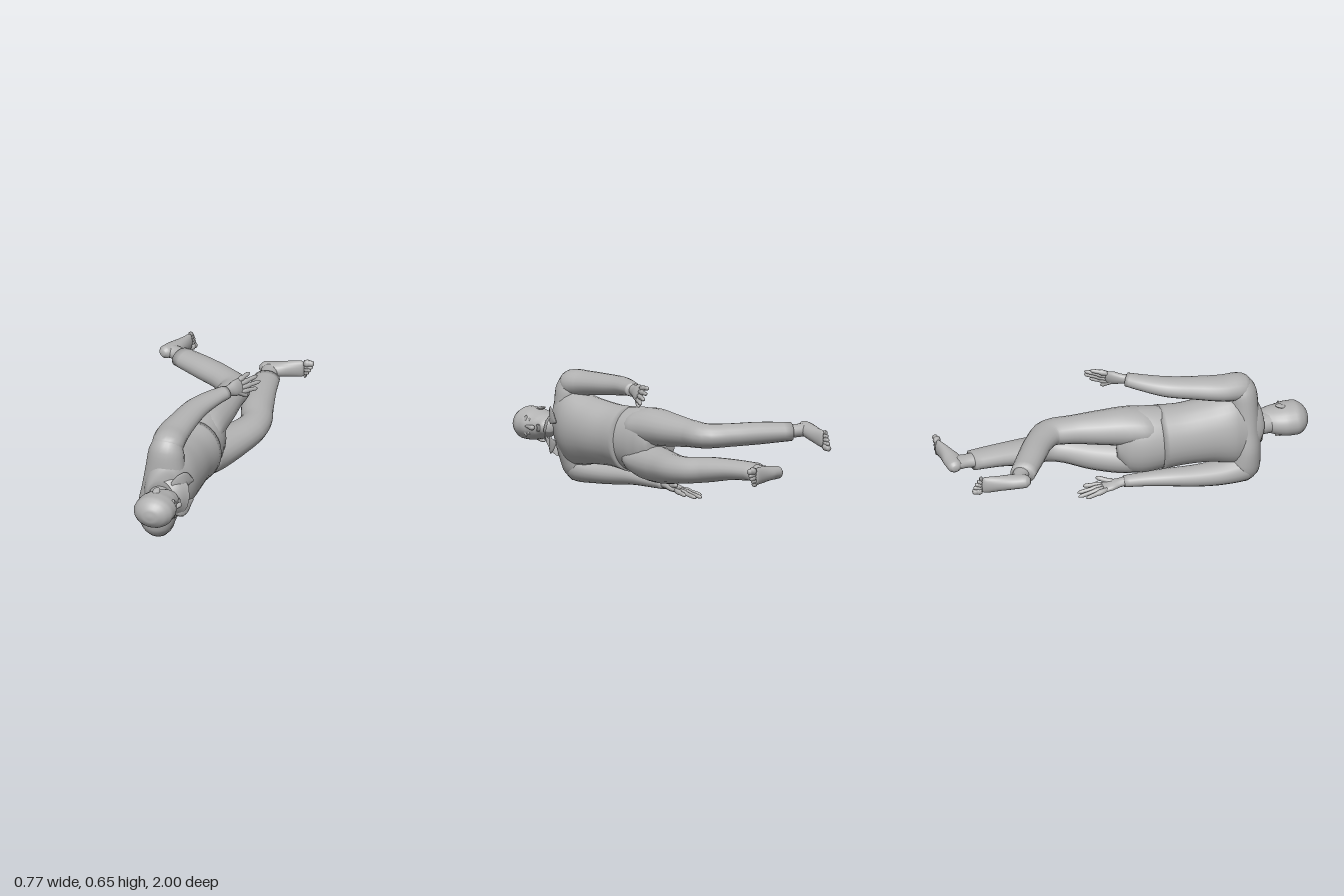
import * as THREE from 'three';

const grey = new THREE.MeshStandardMaterial({ color: 0xb2b2b2, side: THREE.DoubleSide });
grey.name = 'plain grey';

// Smooth skin through elliptical rings [x, y, z, radius along ref, radius across]
function loft(name, rings, { ref = [0, 1, 0], sides = 20, steps = 4, open = false } = {}) {
  const centre = new THREE.CatmullRomCurve3(rings.map(r => new THREE.Vector3(r[0], r[1], r[2])));
  const radii = new THREE.CatmullRomCurve3(rings.map(r => new THREE.Vector3(r[3], r[4], 0)));
  const axis = new THREE.Vector3(...ref);
  const n = (rings.length - 1) * steps, pos = [], idx = [];
  for (let i = 0; i <= n; i++) {
    const c = centre.getPoint(i / n), r = radii.getPoint(i / n), t = centre.getTangent(i / n);
    const v = t.clone().cross(axis).normalize(), u = v.clone().cross(t);
    for (let j = 0; j < sides; j++) {
      const a = (j / sides) * Math.PI * 2;
      const p = c.clone().addScaledVector(u, Math.cos(a) * r.x).addScaledVector(v, Math.sin(a) * r.y);
      pos.push(p.x, p.y, p.z);
      if (i < n) {
        const k = (j + 1) % sides, A = i * sides + j, B = i * sides + k;
        idx.push(A, B, B + sides, A, B + sides, A + sides);
      }
    }
  }
  if (!open) {
    const s = pos.length / 3, last = n * sides;
    pos.push(...centre.getPoint(0).toArray(), ...centre.getPoint(1).toArray());
    for (let j = 0; j < sides; j++) {
      const k = (j + 1) % sides;
      idx.push(s, k, j, s + 1, last + j, last + k);
    }
  }
  const g = new THREE.BufferGeometry();
  g.setAttribute('position', new THREE.Float32BufferAttribute(pos, 3));
  g.setIndex(idx);
  g.computeVertexNormals();
  const m = new THREE.Mesh(g, grey);
  m.name = name;
  return m;
}

function ball(name, p, s) {
  const m = new THREE.Mesh(new THREE.SphereGeometry(1, 14, 10), grey);
  m.position.set(...p);
  m.scale.set(...s);
  m.name = name;
  return m;
}

// Rounded finger or toe from a to b
function digit(name, a, b, r) {
  const at = f => a.map((v, i) => v + (b[i] - v) * f);
  return loft(name, [[...a, r, r], [...at(0.5), r, r], [...at(0.88), r * 0.9, r * 0.9], [...b, r * 0.35, r * 0.35]],
    { sides: 8, steps: 3 });
}

// Palm lofted from wrist to knuckles, four fingers and a thumb
function hand(name, wrist, knuckle, spread, tips, thumb) {
  const g = new THREE.Group();
  g.name = name;
  const mix = f => wrist.map((v, i) => v + (knuckle[i] - v) * f);
  g.add(loft('palm', [[...mix(-0.1), 0.028, 0.024], [...mix(0.25), 0.031, 0.022], [...mix(0.65), 0.044, 0.022],
    [...mix(1), 0.043, 0.015], [...mix(1.1), 0.03, 0.008]], { ref: spread, sides: 14 }));
  tips.forEach((tip, i) => {
    const root = mix(0.95).map((v, k) => v + spread[k] * (0.031 - i * 0.0207));
    g.add(digit('finger', root, tip, 0.012));
  });
  g.add(digit('thumb', mix(0.35), thumb, 0.014));
  return g;
}

// Bare foot: ankle, body of the foot and five toes starting with the big one
function foot(name, ankle, body, tips) {
  const g = new THREE.Group();
  g.name = name;
  g.add(loft('ankle', ankle), loft('instep', body));
  const [x, y, z] = body[body.length - 1], side = Math.sign(tips[0][1] - tips[4][1]);
  tips.forEach((tip, i) => g.add(digit('toe', [x, y + side * (0.034 - i * 0.018), z], tip, i ? 0.0115 : 0.017)));
  return g;
}

export function createModel() {
  const model = new THREE.Group();
  model.name = 'recliningFigure';
  const lean = [0.16, 1, 0];

  // Jacket body, shoulders and trousers seat
  model.add(loft('jacket', [
    [0.08, 0.305, 0.172, 0.178, 0.155], [0.075, 0.308, 0.3, 0.17, 0.146], [0.075, 0.312, 0.45, 0.182, 0.148],
    [0.07, 0.312, 0.57, 0.205, 0.145], [0.062, 0.31, 0.65, 0.2, 0.118], [0.06, 0.305, 0.695, 0.15, 0.092],
    [0.065, 0.3, 0.72, 0.07, 0.07]], { ref: lean, sides: 28 }));
  model.add(loft('shoulders', [
    [0.016, 0.025, 0.61, 0.045, 0.055], [0.018, 0.09, 0.628, 0.083, 0.092], [0.033, 0.2, 0.638, 0.082, 0.115],
    [0.06, 0.31, 0.64, 0.082, 0.12], [0.066, 0.42, 0.638, 0.08, 0.108], [0.07, 0.52, 0.63, 0.08, 0.096],
    [0.077, 0.58, 0.612, 0.06, 0.07], [0.08, 0.615, 0.6, 0.02, 0.025]], { ref: [0, 0, 1], sides: 24 }));
  model.add(loft('trouserSeat', [
    [0.078, 0.308, 0.24, 0.165, 0.138], [0.077, 0.309, 0.17, 0.175, 0.146], [0.077, 0.309, 0.08, 0.184, 0.144],
    [0.088, 0.305, 0, 0.172, 0.124], [0.1, 0.3, -0.06, 0.09, 0.09]], { ref: lean, sides: 28 }));

  // Flared open collar with two lapels
  model.add(loft('collar', [[0.085, 0.29, 0.655, 0.15, 0.135], [0.075, 0.295, 0.7, 0.122, 0.115], [0.065, 0.3, 0.735, 0.085, 0.088]],
    { sides: 16, open: true }));
  for (const s of [1, -1]) {
    model.add(loft('lapel', [[0.13, 0.3 + s * 0.065, 0.73, 0.02, 0.006], [0.18, 0.3 + s * 0.08, 0.685, 0.05, 0.006],
      [0.213, 0.3 + s * 0.055, 0.61, 0.006, 0.004]], { sides: 8 }));
  }

  // Neck and head
  model.add(loft('neck', [[0.055, 0.3, 0.66, 0.06, 0.06], [0.063, 0.3, 0.73, 0.055, 0.058], [0.08, 0.298, 0.81, 0.058, 0.065]]));
  const head = new THREE.Group();
  head.name = 'head';
  head.add(loft('skull', [
    [0.145, 0.3, 0.722, 0.02, 0.028], [0.135, 0.3, 0.74, 0.042, 0.053], [0.113, 0.3, 0.78, 0.065, 0.08],
    [0.097, 0.298, 0.83, 0.078, 0.101], [0.091, 0.297, 0.88, 0.088, 0.111], [0.09, 0.297, 0.93, 0.089, 0.109],
    [0.09, 0.297, 0.968, 0.07, 0.086], [0.09, 0.297, 0.992, 0.038, 0.046], [0.09, 0.297, 0.998, 0.008, 0.01]], { sides: 24 }));
  head.add(loft('nose', [[0.187, 0.299, 0.86, 0.007, 0.008], [0.193, 0.299, 0.83, 0.01, 0.012],
    [0.198, 0.299, 0.805, 0.015, 0.013], [0.19, 0.299, 0.793, 0.008, 0.006]], { sides: 10 }));
  for (const [name, x, z] of [['upperLip', 0.187, 0.776], ['lowerLip', 0.184, 0.766]]) {
    head.add(ball(name, [x, 0.3, z], [0.007, 0.021, 0.006]));
  }
  for (const s of [1, -1]) {
    head.add(ball('brow', [0.181, 0.298 + s * 0.034, 0.864], [0.011, 0.024, 0.008]));
    head.add(ball('eye', [0.178, 0.298 + s * 0.033, 0.843], [0.008, 0.014, 0.007]));
    const ear = ball('ear', [0.082, 0.298 + s * 0.085, 0.85], [0.02, 0.009, 0.032]);
    ear.rotation.x = s * 0.25;
    head.add(ear);
  }
  model.add(head);

  // Sleeves, growing out of the shoulders
  model.add(loft('leftSleeve', [
    [0.075, 0.52, 0.66, 0.04, 0.05], [0.073, 0.548, 0.62, 0.074, 0.086], [0.066, 0.56, 0.52, 0.066, 0.088],
    [0.083, 0.575, 0.38, 0.058, 0.077], [0.112, 0.59, 0.23, 0.051, 0.068], [0.168, 0.602, 0.11, 0.041, 0.054],
    [0.215, 0.607, 0.035, 0.036, 0.041]]));
  model.add(loft('rightSleeve', [
    [0.022, 0.1, 0.67, 0.04, 0.05], [0.018, 0.088, 0.62, 0.08, 0.088], [0.003, 0.077, 0.5, 0.066, 0.08],
    [0, 0.079, 0.36, 0.056, 0.068], [0.01, 0.087, 0.22, 0.046, 0.058], [0.03, 0.086, 0.08, 0.036, 0.045],
    [0.04, 0.084, -0.03, 0.03, 0.036]]));

  // Hands
  model.add(hand('leftHand', [0.215, 0.609, 0.035], [0.265, 0.608, -0.06], [-0.25, 0.95, -0.15],
    [[0.288, 0.65, -0.145], [0.325, 0.627, -0.168], [0.342, 0.598, -0.165], [0.335, 0.57, -0.135]], [0.298, 0.543, -0.085]));
  model.add(hand('rightHand', [0.04, 0.084, -0.03], [0.042, 0.066, -0.14], [-0.95, 0, 0.2],
    [[-0.012, 0.045, -0.25], [0.022, 0.04, -0.285], [0.06, 0.042, -0.28], [0.1, 0.055, -0.24]], [0.095, 0.1, -0.17]));

  // Trouser legs: the left one bent back, the right one forward
  model.add(loft('leftTrouserLeg', [
    [0.08, 0.36, 0.2, 0.05, 0.08], [0.082, 0.39, 0.09, 0.094, 0.13], [0.09, 0.397, 0, 0.1, 0.122],
    [0.108, 0.4, -0.15, 0.088, 0.104], [0.122, 0.404, -0.3, 0.073, 0.085], [0.12, 0.406, -0.418, 0.066, 0.086],
    [0.03, 0.41, -0.503, 0.062, 0.076], [-0.1, 0.413, -0.582, 0.06, 0.074], [-0.258, 0.413, -0.675, 0.05, 0.068]]));
  model.add(loft('rightTrouserLeg', [
    [0.08, 0.25, 0.2, 0.05, 0.08], [0.088, 0.22, 0.09, 0.086, 0.126], [0.112, 0.208, 0, 0.095, 0.12],
    [0.17, 0.21, -0.15, 0.09, 0.108], [0.235, 0.225, -0.3, 0.077, 0.092], [0.247, 0.235, -0.4, 0.071, 0.084],
    [0.215, 0.25, -0.52, 0.068, 0.087], [0.19, 0.268, -0.68, 0.055, 0.077], [0.17, 0.274, -0.835, 0.048, 0.07]]));

  // Feet
  model.add(foot('leftFoot',
    [[-0.22, 0.415, -0.66, 0.04, 0.045], [-0.285, 0.418, -0.7, 0.035, 0.042], [-0.335, 0.42, -0.715, 0.036, 0.045]],
    [[-0.36, 0.427, -0.66, 0.015, 0.018], [-0.352, 0.425, -0.68, 0.034, 0.036], [-0.328, 0.418, -0.74, 0.038, 0.046],
      [-0.302, 0.405, -0.82, 0.043, 0.034], [-0.283, 0.396, -0.89, 0.047, 0.02], [-0.279, 0.396, -0.905, 0.04, 0.012]],
    [[-0.265, 0.352, -0.955], [-0.268, 0.378, -0.95], [-0.27, 0.398, -0.942], [-0.273, 0.417, -0.932], [-0.278, 0.435, -0.92]]));
  model.add(foot('rightFoot',
    [[0.17, 0.275, -0.8, 0.04, 0.05], [0.165, 0.278, -0.87, 0.034, 0.044], [0.16, 0.28, -0.93, 0.036, 0.05]],
    [[0.098, 0.28, -0.943, 0.015, 0.018], [0.12, 0.28, -0.943, 0.034, 0.038], [0.185, 0.283, -0.94, 0.038, 0.05],
      [0.255, 0.286, -0.957, 0.044, 0.034], [0.32, 0.287, -0.976, 0.046, 0.02], [0.333, 0.287, -0.978, 0.04, 0.012]],
    [[0.386, 0.321, -0.983], [0.378, 0.296, -0.983], [0.369, 0.278, -0.984], [0.357, 0.262, -0.985], [0.342, 0.247, -0.986]]));

  return model;
}
